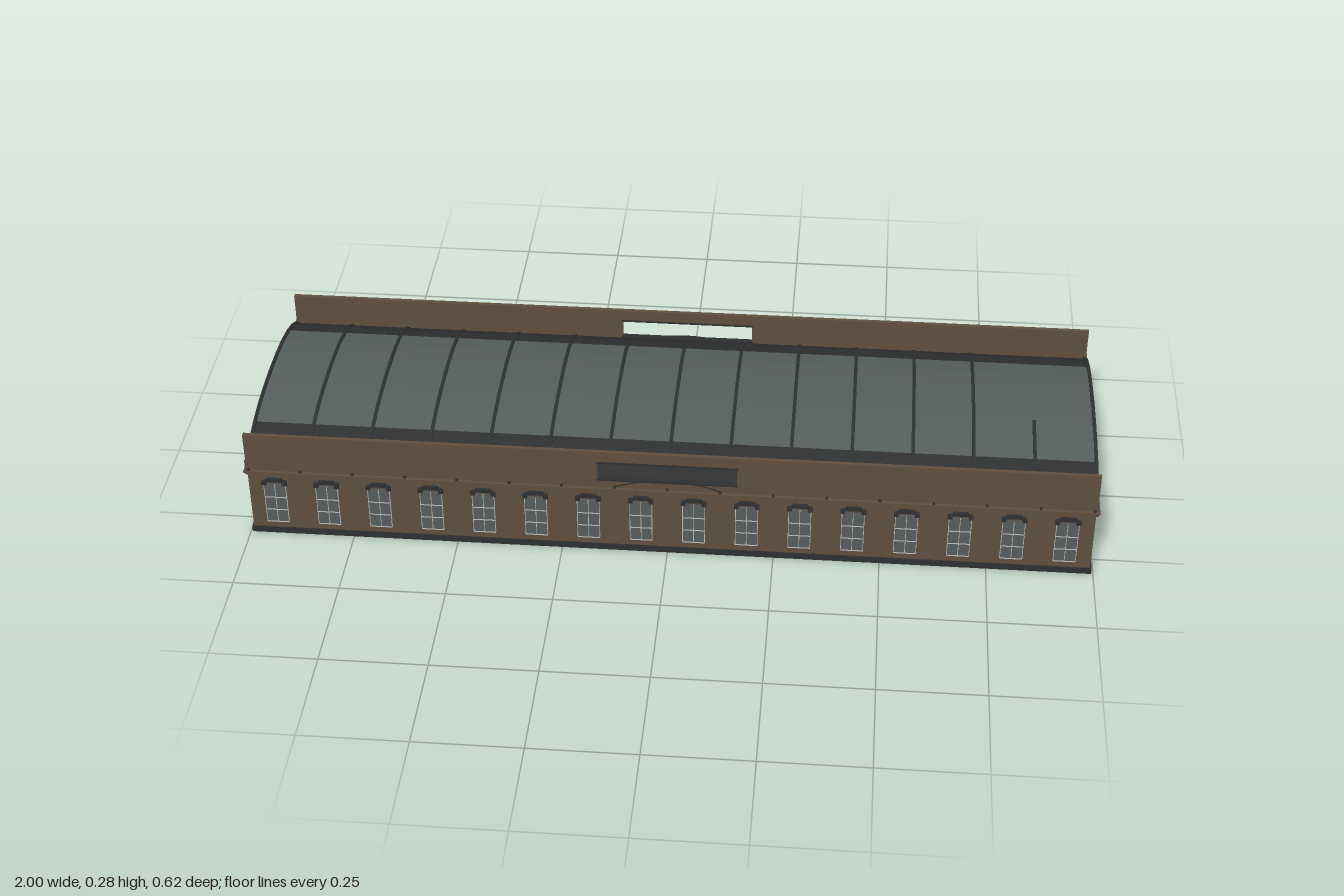
import * as THREE from 'three';

const mat = (name, color, extra = {}) => {
  const m = new THREE.MeshStandardMaterial({ color, ...extra });
  m.name = name;
  return m;
};

export function createModel() {
  const brick = mat('brown brick', 0x5f4f40);
  const iron = mat('dark iron', 0x2e2f31);
  const glass = mat('grey glass', 0x565d5d);
  const paint = mat('pale paint', 0xb4b8b5);

  const model = new THREE.Group();
  model.name = 'longHall';

  const add = (parent, name, geometry, material) => {
    const mesh = new THREE.Mesh(geometry, material);
    mesh.name = name;
    parent.add(mesh);
    return mesh;
  };
  const box = (parent, name, material, w, h, d, x, y, z) => {
    const mesh = add(parent, name, new THREE.BoxGeometry(w, h, d), material);
    mesh.position.set(x, y, z);
    return mesh;
  };

  // Main block, plinth and cornice
  box(model, 'plinth', iron, 1.992, 0.016, 0.61, 0, 0.008, 0);
  box(model, 'walls', brick, 1.984, 0.16, 0.604, 0, 0.096, 0);
  box(model, 'cornice', brick, 1.994, 0.006, 0.614, 0, 0.175, 0);
  box(model, 'corniceCap', brick, 2, 0.005, 0.62, 0, 0.1805, 0);
  box(model, 'ceiling', glass, 1.96, 0.002, 0.58, 0, 0.184, 0);

  // Window facing +z, with its origin on the ground at the wall surface
  const makeWindow = () => {
    const g = new THREE.Group();
    g.name = 'window';
    const w = 0.052, low = 0.034, high = 0.144, mid = (low + high) / 2;
    box(g, 'pane', glass, w, high - low, 0.002, 0, mid, 0.001);
    for (const s of [-1, 1]) {
      box(g, 'frameSide', paint, 0.0015, high - low, 0.004, s * w / 2, mid, 0.002);
      box(g, 'hoodEnd', iron, 0.011, 0.009, 0.009, s * 0.0245, 0.1495, 0.0045);
    }
    for (const y of [low, 0.07, 0.106]) {
      box(g, 'glazingBar', paint, w, 0.0015, 0.004, 0, y, 0.002);
    }
    box(g, 'mullion', paint, 0.0015, high - low, 0.004, 0, mid, 0.002);
    // Stepped arch hood
    const hood = new THREE.Shape();
    [[-0.03, 0.146], [-0.026, 0.156], [-0.019, 0.157], [-0.017, 0.162], [0.017, 0.162], [0.019, 0.157],
      [0.026, 0.156], [0.03, 0.146], [0.021, 0.148], [0.016, 0.153], [-0.016, 0.153], [-0.021, 0.148]]
      .forEach(([x, y], i) => (i ? hood.lineTo(x, y) : hood.moveTo(x, y)));
    add(g, 'hood', new THREE.ExtrudeGeometry(hood, { depth: 0.007, bevelEnabled: false }), iron);
    return g;
  };

  for (const s of [1, -1]) {
    const long = new THREE.Group();
    long.name = s > 0 ? 'frontFacade' : 'backFacade';
    long.rotation.y = s > 0 ? 0 : Math.PI;
    model.add(long);

    for (let i = 0; i < 16; i++) {
      const win = makeWindow();
      win.position.set((i - 7.5) * 0.124, 0, 0.302);
      long.add(win);
    }
    for (let i = 0; i < 17; i++) {
      box(long, 'corniceBracket', iron, 0.006, 0.005, 0.006, (i - 8) * 0.1235, 0.1855, 0.305);
    }

    // Parapet with a long central opening
    const wall = new THREE.Shape([[-0.994, 0.183], [0.994, 0.183], [0.994, 0.283], [-0.994, 0.283]]
      .map(p => new THREE.Vector2(...p)));
    wall.holes.push(new THREE.Path([[-0.162, 0.205], [-0.162, 0.255], [0.162, 0.255], [0.162, 0.205]]
      .map(p => new THREE.Vector2(...p))));
    const parapet = add(long, 'parapet',
      new THREE.ExtrudeGeometry(wall, { depth: 0.01, bevelEnabled: false }), brick);
    parapet.position.z = 0.293;
    for (const e of [-1, 1]) {
      box(long, 'parapetEndBlock', brick, 0.008, 0.027, 0.012, e * 0.992, 0.1965, 0.299);
    }

    // Shallow arched trim under the opening
    const arch = new THREE.QuadraticBezierCurve3(
      new THREE.Vector3(-0.125, 0.186, 0.303),
      new THREE.Vector3(0, 0.232, 0.303),
      new THREE.Vector3(0.125, 0.186, 0.303));
    add(long, 'archTrim', new THREE.TubeGeometry(arch, 12, 0.002, 4), iron);
    box(long, 'openingSill', iron, 0.33, 0.004, 0.014, 0, 0.205, 0.298);
    box(long, 'openingHead', iron, 0.33, 0.004, 0.014, 0, 0.254, 0.298);

    // Short end wall
    const end = new THREE.Group();
    end.name = s > 0 ? 'leftEnd' : 'rightEnd';
    end.rotation.y = s * Math.PI / 2;
    model.add(end);
    for (let i = -2; i <= 2; i++) {
      const win = makeWindow();
      win.position.set(i * 0.122, 0, 0.992);
      end.add(win);
    }
    for (let i = -5; i <= 5; i++) {
      box(end, 'corniceBracket', iron, 0.004, 0.003, 0.004, i * 0.0555, 0.1705, 0.994);
    }
  }

  // Vaulted roof: half profile as (z, y), mirrored into a full arc
  const half = [[0.302, 0.186], [0.294, 0.201], [0.275, 0.215], [0.24, 0.231], [0.195, 0.245],
    [0.132, 0.257], [0.067, 0.2625], [0, 0.2645]];
  const arc = [...half, ...half.slice(0, -1).reverse().map(([z, y]) => [-z, y])];

  // Extrudes a strip of the arc along x
  const strip = (name, points, rise, thick, width, x, material) => {
    const outline = [
      ...points.map(([z, y]) => new THREE.Vector2(-z, y + rise)),
      ...points.map(([z, y]) => new THREE.Vector2(-z, y + rise - thick)).reverse(),
    ];
    const geo = new THREE.ExtrudeGeometry(new THREE.Shape(outline), { depth: width, bevelEnabled: false });
    geo.translate(0, 0, -width / 2);
    geo.rotateY(Math.PI / 2);
    const mesh = add(model, name, geo, material);
    mesh.position.x = x;
  };
  strip('roofGlass', arc.slice(4, 11), 0, 0.003, 1.984, 0, glass);
  strip('frontRoofEdge', arc.slice(0, 5), 0, 0.003, 1.984, 0, iron);
  strip('backRoofEdge', arc.slice(10), 0, 0.003, 1.984, 0, iron);

  // Roof ribs; one near the left end is only partly present
  for (let i = -7; i <= 7; i++) {
    const points = i === 6 ? arc.slice(0, 7) : arc;
    strip('roofRib', points, 0.003, 0.007, 0.008, i * 0.1415, iron);
  }
  return model;
}
